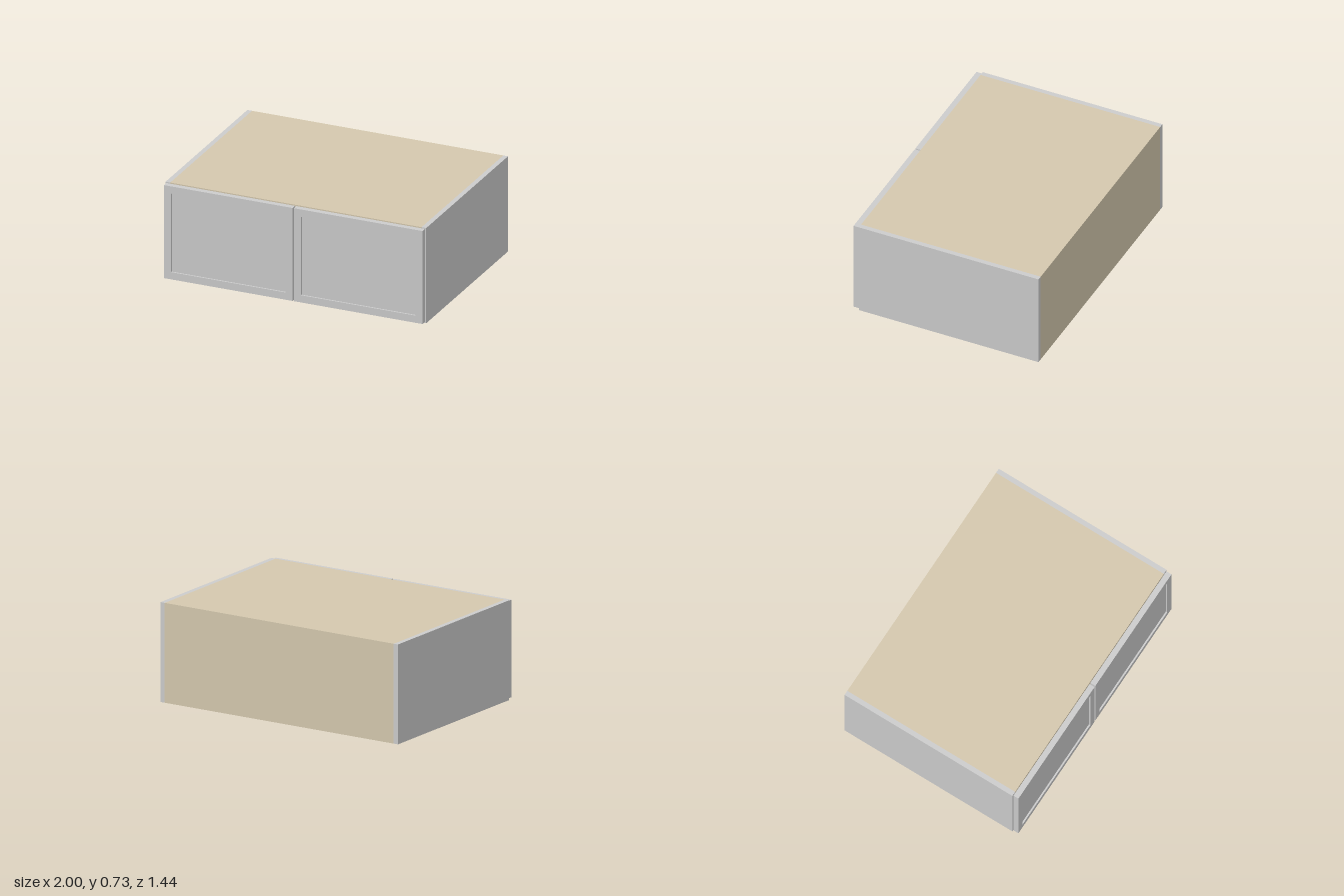
import * as THREE from 'three';

const W = 2, H = 0.725, T = 0.036;      // overall width, height, board thickness
const BACK = -0.72, FRONT = 0.675, FACE = 0.72; // depth of carcass and door face

export function createModel() {
  const model = new THREE.Group();
  model.name = 'wallCabinet';
  const grey = new THREE.MeshStandardMaterial({ color: 0xcccccc });
  const wood = new THREE.MeshStandardMaterial({ color: 0xd4c8ae });

  // Board given by its minimum and maximum corners
  function board(name, material, [x0, y0, z0], [x1, y1, z1], parent = model) {
    const mesh = new THREE.Mesh(new THREE.BoxGeometry(x1 - x0, y1 - y0, z1 - z0), material);
    mesh.position.set((x0 + x1) / 2, (y0 + y1) / 2, (z0 + z1) / 2);
    mesh.name = name;
    parent.add(mesh);
  }

  // Carcass: side panels with the wooden boards set between them
  const inner = W / 2 - T;
  board('leftSide', grey, [inner, 0, BACK], [W / 2, H, FRONT]);
  board('rightSide', grey, [-W / 2, 0, BACK], [-inner, H, FRONT]);
  board('topPanel', wood, [-inner, H - T, BACK], [inner, H, FRONT]);
  board('bottomPanel', wood, [-inner, 0, BACK], [inner, T, FRONT]);
  board('backPanel', wood, [-inner, T, BACK], [inner, H - T, BACK + T]);
  board('shelf', wood, [-inner, 0.35, BACK + T], [inner, 0.35 + T, FRONT - 0.02]);

  // Doors: a mitreless frame around a shallow recessed panel
  const x0 = 0.005, x1 = 0.992, y0 = 0.01, y1 = 0.718, rail = 0.055;
  const rear = FRONT + 0.003, recess = 0.012;
  const outline = (a, b, c, d, Type) => new Type([
    new THREE.Vector2(a, b), new THREE.Vector2(c, b),
    new THREE.Vector2(c, d), new THREE.Vector2(a, d),
  ]);
  for (const side of [1, -1]) {
    const door = new THREE.Group();
    door.name = side > 0 ? 'leftDoor' : 'rightDoor';
    const [a, c] = side > 0 ? [x0, x1] : [-x1, -x0];
    const shape = outline(a, y0, c, y1, THREE.Shape);
    shape.holes.push(outline(a + rail, y0 + rail, c - rail, y1 - rail, THREE.Path));
    const frame = new THREE.Mesh(
      new THREE.ExtrudeGeometry(shape, { depth: FACE - rear, bevelEnabled: false }), grey);
    frame.position.z = rear;
    frame.name = 'doorFrame';
    door.add(frame);
    board('doorPanel', grey, [a + rail, y0 + rail, rear + 0.008],
      [c - rail, y1 - rail, FACE - recess], door);
    model.add(door);
  }
  return model;
}
